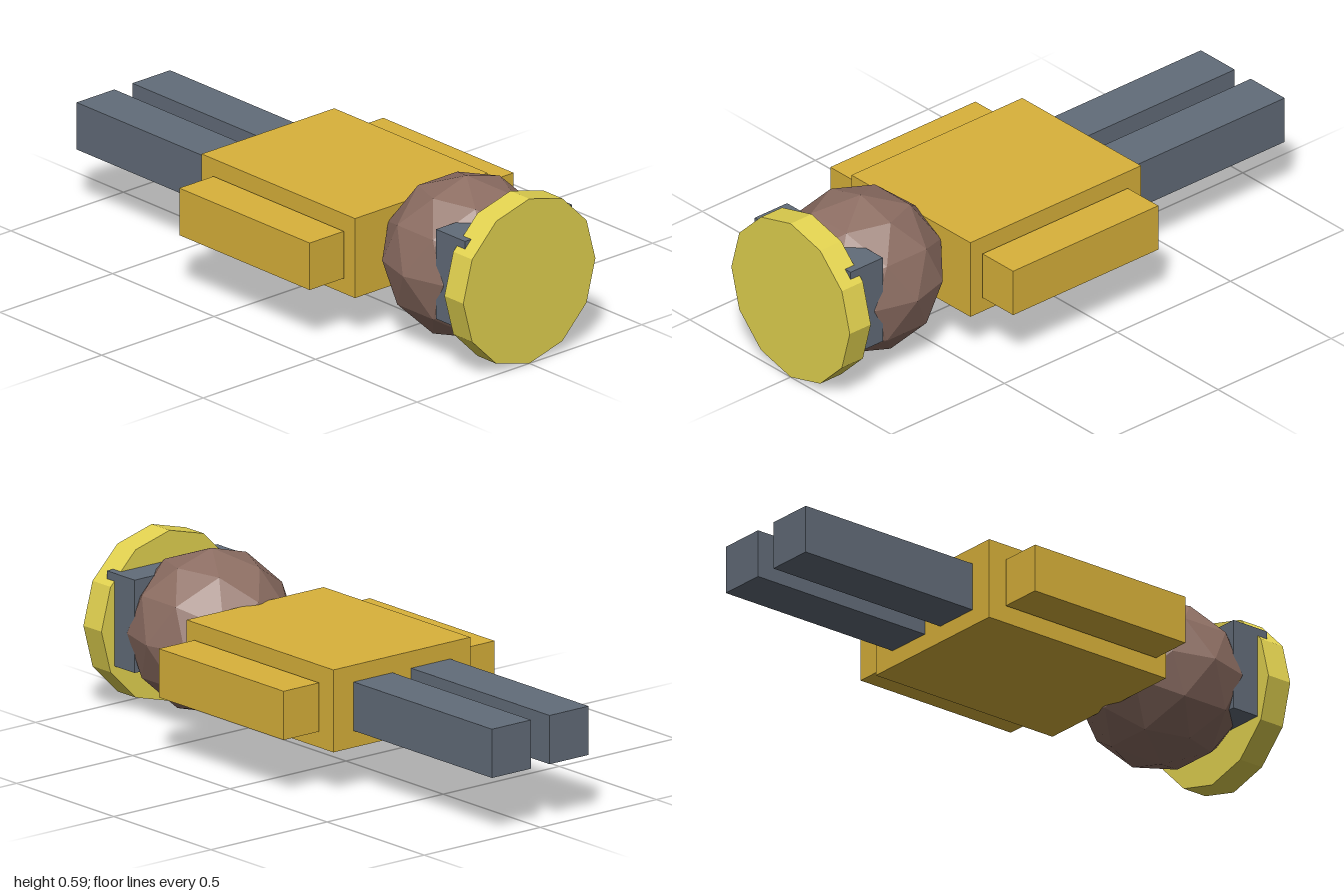
import * as THREE from 'three';

const mat = (color) => new THREE.MeshStandardMaterial({ color, flatShading: true });

export function createModel() {
  const model = new THREE.Group();
  model.name = 'lyingFigure';
  const yellow = mat(0xd9b23a), paleYellow = mat(0xe3d350);
  const slate = mat(0x626c79), brown = mat(0x8d6e63);

  const add = (name, geometry, material, x, y, z) => {
    const mesh = new THREE.Mesh(geometry, material);
    mesh.name = name;
    mesh.position.set(x, y, z);
    model.add(mesh);
    return mesh;
  };
  const box = (name, w, h, d, material, x, y, z) =>
    add(name, new THREE.BoxGeometry(w, h, d), material, x, y, z);

  // Torso, lying on its back along z
  box('torso', 0.59, 0.284, 0.755, yellow, 0, 0.295, 0.09);

  // Arms beside the torso and legs stretching to the back
  for (const [side, s] of [['left', 1], ['right', -1]]) {
    box(side + 'Arm', 0.152, 0.168, 0.642, yellow, s * 0.378, 0.295, 0.099);
    box(side + 'Leg', 0.168, 0.168, 0.713, slate, s * 0.124, 0.295, -0.6435);
  }

  // Faceted head
  add('head', new THREE.IcosahedronGeometry(0.283, 1), brown, 0, 0.295, 0.69);

  // Hat band block, running into the hat disc
  box('hatBand', 0.476, 0.32, 0.143, slate, 0, 0.326, 0.875);

  // Twelve-sided hat disc
  const disc = new THREE.CylinderGeometry(0.294, 0.294, 0.093, 12);
  add('hatDisc', disc, paleYellow, 0, 0.295, 0.9535).rotation.x = Math.PI / 2;

  return model;
}
